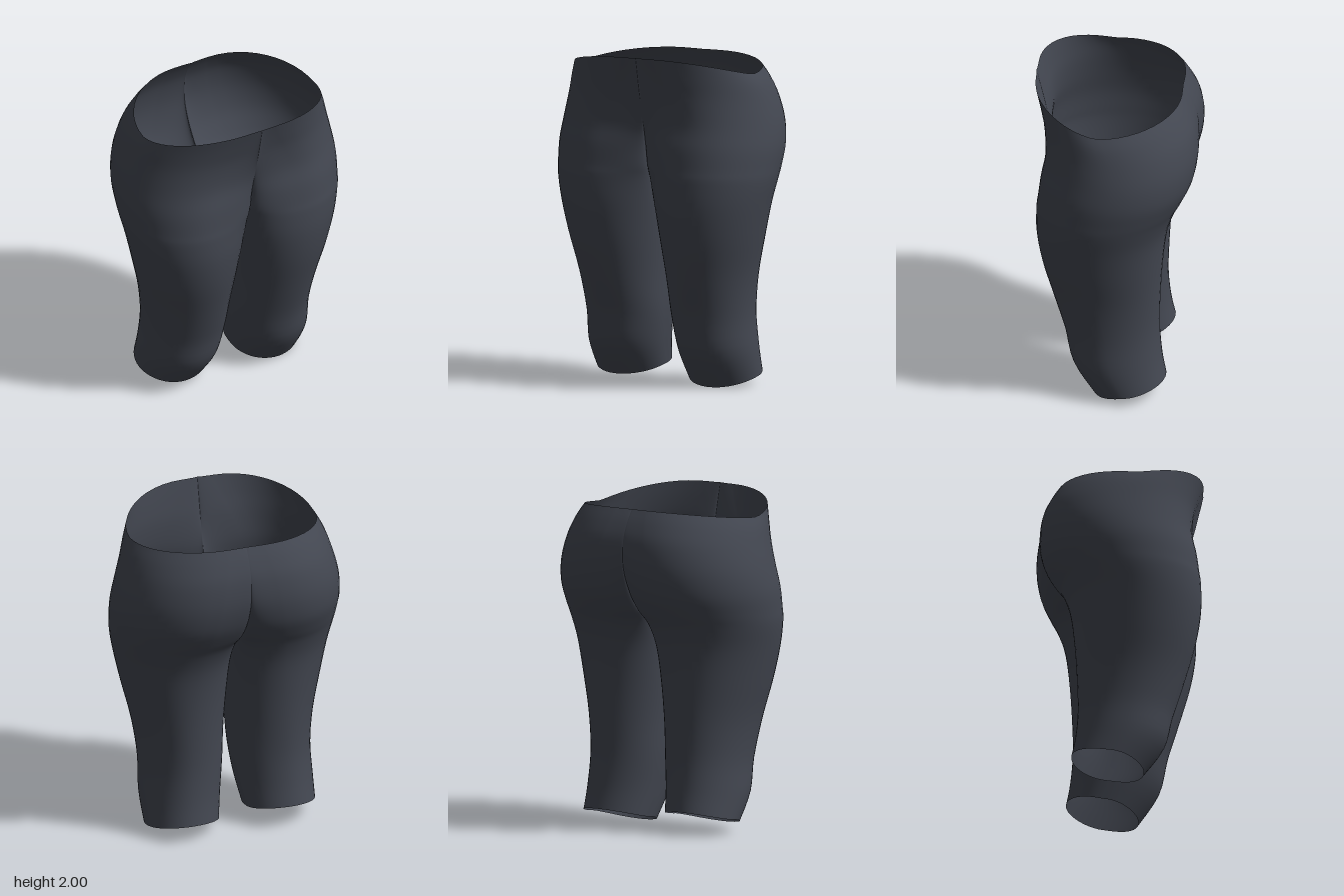
import * as THREE from 'three';
import { mergeVertices } from 'three/addons/utils/BufferGeometryUtils.js';

// Cross-sections of one half, from the hem upward. Each row holds:
// front y, side y, back y, outer x, inner x, x of front bulge, x of back bulge,
// front z, back z, inner wall front z, inner wall back z
const LEG = [
  [0.00, 0.055, 0.11, 0.525, 0.09, 0.31, 0.31, 0.12, -0.31, -0.07, -0.12],
  [0.20, 0.22, 0.25, 0.53, 0.065, 0.30, 0.30, 0.245, -0.285, 0.00, -0.06],
  [0.42, 0.43, 0.44, 0.525, 0.042, 0.29, 0.29, 0.295, -0.27, 0.05, -0.03],
  [0.66, 0.66, 0.66, 0.55, 0.032, 0.29, 0.29, 0.365, -0.275, 0.08, -0.02],
  [0.90, 0.90, 0.90, 0.605, 0.015, 0.30, 0.29, 0.43, -0.29, 0.13, -0.03],
  [1.10, 1.10, 1.10, 0.65, 0.004, 0.31, 0.28, 0.46, -0.315, 0.20, -0.07],
];
const HIPS = [
  [1.26, 1.24, 1.24, 0.68, 0, 0.32, 0.27, 0.46, -0.36, 0.27, -0.17],
  [1.34, 1.33, 1.33, 0.69, 0, 0.32, 0.25, 0.45, -0.41, 0.32, -0.30],
  [1.46, 1.45, 1.45, 0.695, 0, 0.31, 0.23, 0.435, -0.465, 0.35, -0.40],
  [1.60, 1.58, 1.60, 0.678, 0, 0.29, 0.20, 0.41, -0.49, 0.39, -0.465],
  [1.76, 1.71, 1.75, 0.645, 0, 0.22, 0.17, 0.42, -0.475, 0.435, -0.468],
  [1.89, 1.82, 1.86, 0.61, 0, 0.15, 0.14, 0.452, -0.432, 0.465, -0.43],
  [2.00, 1.89, 1.94, 0.575, 0, 0.10, 0.12, 0.485, -0.385, 0.49, -0.38],
];
const STEPS = 4;    // rows between two sections
const QUARTER = 12; // columns per rounded quarter
const WALL = 6;     // columns on the inner wall

// Smooth interpolation between the sections
function sectionAt(rows, i, t) {
  const row = (k) => rows[Math.min(Math.max(k, 0), rows.length - 1)];
  return row(i).map((b, k) => {
    const a = row(i - 1)[k], c = row(i + 1)[k], d = row(i + 2)[k];
    const m0 = (c - a) / 2, m1 = (d - b) / 2;
    return b + m0 * t + (3 * (c - b) - 2 * m0 - m1) * t * t + (2 * (b - c) + m0 + m1) * t * t * t;
  });
}

// Closed loop: front bulge, outer side, back bulge, inner wall, back to the front
function loop([yF, yS, yB, xo, xi, cxF, cxB, zF, zB, wF, wB]) {
  const inner = Math.max(xi, 0);
  const zm = (zF + zB) / 2 + 0.02;
  const pts = [];
  const arc = (cx, ex, cz, ez, n, fromTip) => {
    for (let j = 0; j < n; j++) {
      const s = (fromTip ? 1 - j / n : j / n) * Math.PI / 2;
      pts.push([cx + (ex - cx) * Math.sin(s), cz + (ez - cz) * Math.cos(s)]);
    }
  };
  arc(cxF, xo, zm, zF, QUARTER, false);
  arc(cxB, xo, zm, zB, QUARTER, true);
  arc(cxB, inner, wB, zB, QUARTER, false);
  for (let j = 0; j < WALL; j++) pts.push([inner, wB + (wF - wB) * j / WALL]);
  arc(cxF, inner, wF, zF, QUARTER, true);
  return pts.map(([x, z]) => {
    const u = Math.min(1, z > zm ? (z - zm) / (Math.max(zF, wF) - zm) : (zm - z) / (zm - Math.min(zB, wB)));
    const y = yS + ((z > zm ? yF : yB) - yS) * Math.pow(u, 1.3);
    return [x, y, z];
  });
}

function shortsGeometry() {
  const rows = [...LEG, ...HIPS];
  const loops = [];
  for (let i = 0; i < rows.length - 1; i++) {
    for (let s = 0; s < STEPS; s++) loops.push(loop(sectionAt(rows, i, s / STEPS)));
  }
  loops.push(loop(rows[rows.length - 1]));

  const n = loops[0].length;
  const crotchRow = LEG.length * STEPS;
  const wallStart = QUARTER * 3, wallEnd = wallStart + WALL;
  const positions = [], index = [];
  for (const side of [1, -1]) {
    const base = positions.length / 3;
    for (const ring of loops) {
      for (const [x, y, z] of ring) {
        // The right hem sits slightly higher
        const lift = side < 0 ? 0.04 * Math.max(0, 1 - y / 0.5) : 0;
        positions.push(side * x, y + lift, z);
      }
    }
    for (let r = 0; r < loops.length - 1; r++) {
      for (let c = 0; c < n; c++) {
        // Above the crotch the two halves open into each other
        if (r >= crotchRow && c >= wallStart && c < wallEnd) continue;
        const a = base + r * n + c, b = base + r * n + (c + 1) % n;
        const d = a + n, e = b + n;
        if (side > 0) index.push(a, b, e, a, e, d);
        else index.push(a, e, b, a, d, e);
      }
    }
  }
  let geometry = new THREE.BufferGeometry();
  geometry.setAttribute('position', new THREE.Float32BufferAttribute(positions, 3));
  geometry.setIndex(index);
  geometry = mergeVertices(geometry, 1e-4);
  geometry.computeVertexNormals();
  return geometry;
}

export function createModel() {
  const group = new THREE.Group();
  group.name = 'shorts';
  const fabric = new THREE.MeshStandardMaterial({ color: 0x434751, side: THREE.DoubleSide });
  fabric.name = 'dark slate fabric';
  const shell = new THREE.Mesh(shortsGeometry(), fabric);
  shell.name = 'shortsShell';
  group.add(shell);
  return group;
}
